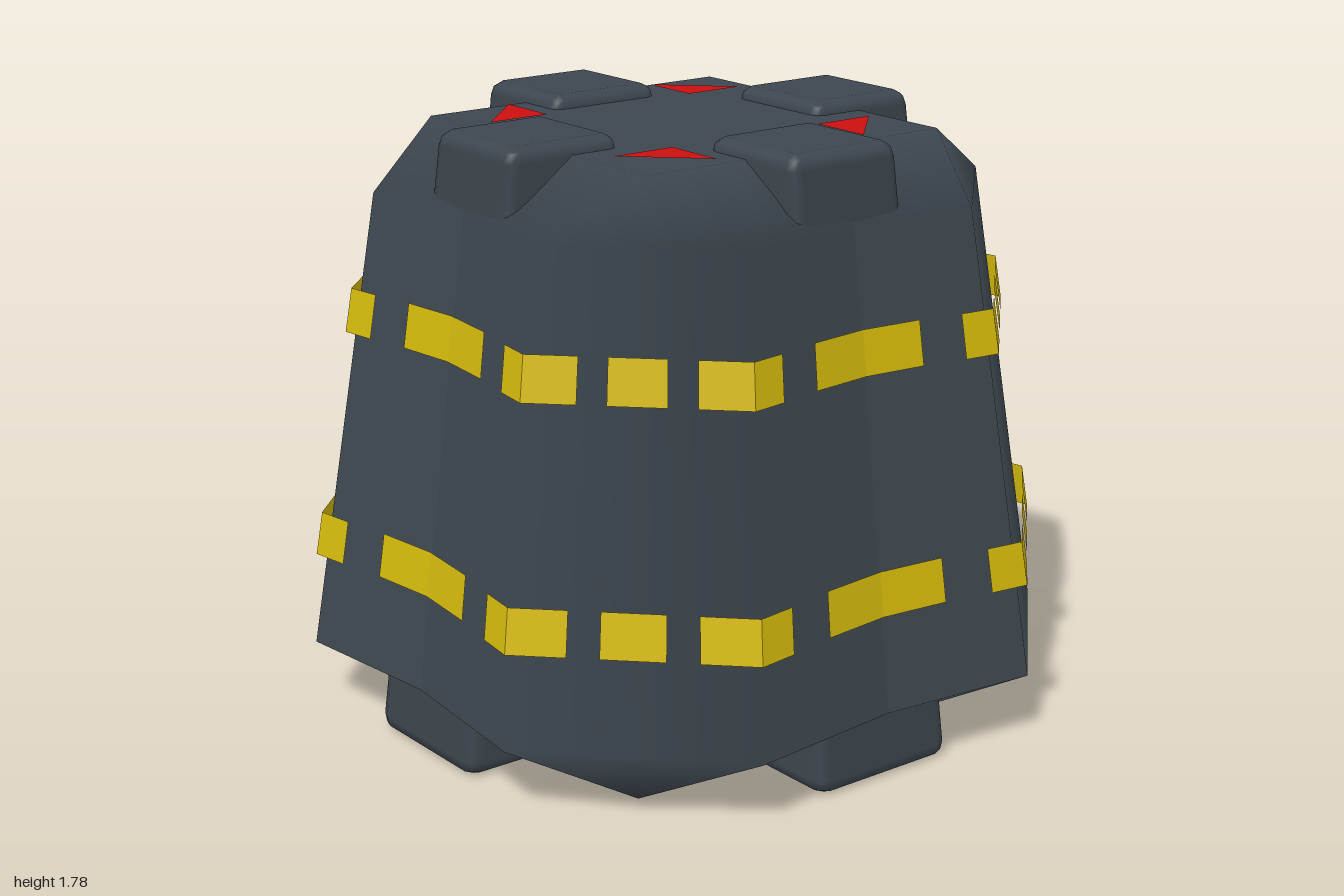
import * as THREE from 'three';
import { RoundedBoxGeometry } from 'three/addons/geometries/RoundedBoxGeometry.js';

const darkMetal = new THREE.MeshStandardMaterial({ color: 0x3d474f });
const yellow = new THREE.MeshStandardMaterial({ color: 0xd4b90c, side: THREE.DoubleSide });
const red = new THREE.MeshStandardMaterial({ color: 0xcc1010, side: THREE.DoubleSide });

const TAPER = 0.142;
const shrink = y => 1 - (y - 0.22) * TAPER; // outline scale at a height

function buildGeometry(positions, indices, normals) {
  const g = new THREE.BufferGeometry();
  g.setAttribute('position', new THREE.Float32BufferAttribute(positions, 3));
  g.setIndex(indices);
  if (normals) g.setAttribute('normal', new THREE.Float32BufferAttribute(normals, 3));
  else g.computeVertexNormals();
  return g;
}

function addMesh(parent, name, geometry, material) {
  const mesh = new THREE.Mesh(geometry, material);
  mesh.name = name;
  parent.add(mesh);
  return mesh;
}

// Tapered body: rings of four pinched sides joined by wide corner panels.
// Corner panels and bevels take the normals of the flat sides and caps.
function bodyGeometry() {
  const rings = [ // y, corner x, corner z, middle z, cap normal
    [0.055, 0, 0, 0, -1],
    [0.055, 0.68, 0.68, 0.68, -1],
    [0.22, 0.5, 1, 0.95, 0],
    [1.59, 0.403, 0.805, 0.765, 0],
    [1.76, 0.525, 0.525, 0.525, 1],
    [1.76, 0, 0, 0, 1],
  ];
  const up = new THREE.Vector3(0, 1, 0);
  const positions = [], normals = [], indices = [];
  rings.forEach(([y, cx, cz, mz, cap], r) => {
    for (let side = 0; side < 4; side++) {
      // the middle point is doubled so that the pinch stays sharp
      [[-cx, cz, 1], [0, mz, 1], [0, mz, -1], [cx, cz, -1]].forEach(([x, z, lean], i) => {
        const turn = side * Math.PI / 2;
        const p = new THREE.Vector3(x, y, z).applyAxisAngle(up, turn);
        const n = cap ? new THREE.Vector3(0, cap, 0)
          : new THREE.Vector3(lean * 0.1, TAPER, 1).normalize().applyAxisAngle(up, turn);
        positions.push(...p.toArray());
        normals.push(...n.toArray());
        if (r === rings.length - 1 || i === 1) return;
        const j = side * 4 + i, k = (j + 1) % 16;
        const a = r * 16 + j, b = r * 16 + k;
        indices.push(a, b, b + 16, a, b + 16, a + 16);
      });
    }
  });
  return buildGeometry(positions, indices, normals);
}

// Tapered bar running through the body; its ends show as top and bottom blocks.
function barGeometry() {
  const g = new RoundedBoxGeometry(0.49, 1.78, 0.48, 1, 0.045);
  g.translate(0, 0.91, 0.71);
  const p = g.attributes.position;
  for (let i = 0; i < p.count; i++) {
    const s = 1 - (p.getY(i) - 0.02) / 1.78 * 0.235;
    p.setX(i, p.getX(i) * s);
    p.setZ(i, p.getZ(i) * s);
  }
  return g;
}

// Strip following the body's slope through outline points [x, z].
function stripGeometry(points, y, height) {
  const positions = [], indices = [];
  for (let i = 0; i < points.length - 1; i++) {
    for (const [x, z] of [points[i], points[i + 1]]) {
      for (const h of [y, y + height]) {
        const s = shrink(h) * 1.03;
        positions.push(x * s, h, z * s);
      }
    }
    const a = i * 4;
    indices.push(a, a + 2, a + 3, a, a + 3, a + 1);
  }
  return buildGeometry(positions, indices);
}

// Right-angled marker lying flat, its long edge facing the corner.
function markerGeometry(y, scale, upward) {
  const [x, z, leg] = [0.3 * scale, 0.265 * scale, 0.2 * scale];
  return buildGeometry(
    [x, y, z, x, y, z + leg, x + leg, y, z],
    upward ? [0, 1, 2] : [0, 2, 1]);
}

export function createModel() {
  const model = new THREE.Group();
  model.name = 'taperedCrate';
  addMesh(model, 'body', bodyGeometry(), darkMetal);

  // Bars and painted strips, repeated on the four sides
  const bar = barGeometry();
  const strips = [
    ['sideStrip', [[-0.22, 0.953], [0, 0.93], [0.22, 0.953]]],
    ['cornerStrip', [[0.375, 0.983], [0.5, 1], [0.62, 0.88]]],
    ['cornerMiddleStrip', [[0.685, 0.815], [0.815, 0.685]]],
    ['cornerStrip', [[0.88, 0.62], [1, 0.5], [0.983, 0.375]]],
  ];
  for (let i = 0; i < 4; i++) {
    const side = new THREE.Group();
    side.name = 'side';
    side.rotation.y = i * Math.PI / 2;
    addMesh(side, 'bar', bar, darkMetal);
    for (const y of [0.5, 1.18]) {
      for (const [name, points] of strips) {
        addMesh(side, name, stripGeometry(points, y, 0.13), yellow);
      }
    }
    model.add(side);
  }

  // Corner markers on the top and bottom faces, mirrored to each corner
  for (const sx of [1, -1]) {
    for (const sz of [1, -1]) {
      addMesh(model, 'topMarker', markerGeometry(1.768, 1, true), red).scale.set(sx, 1, sz);
      addMesh(model, 'bottomMarker', markerGeometry(0.046, 1.3, false), red).scale.set(sx, 1, sz);
    }
  }
  return model;
}
